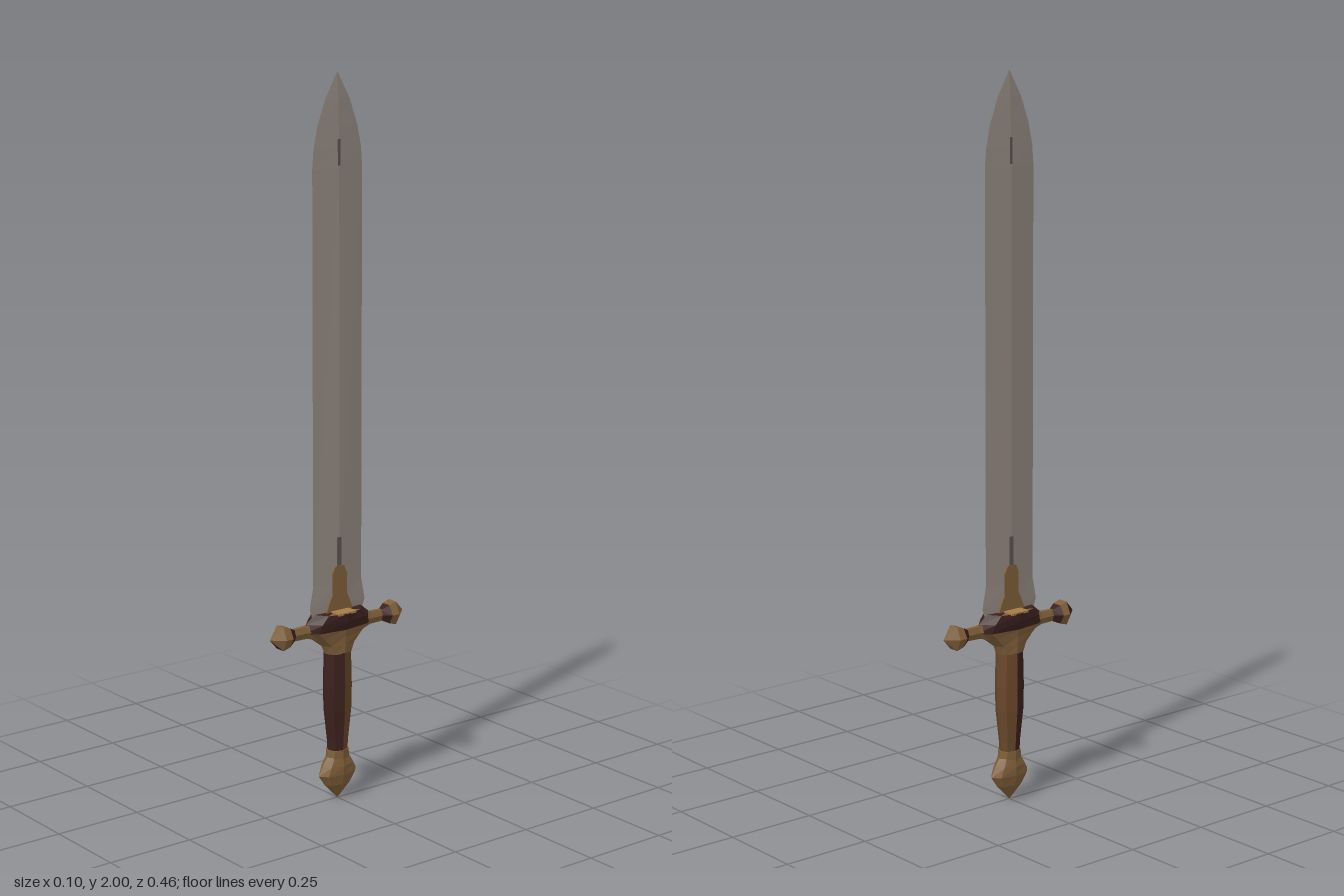
import * as THREE from 'three';

const mat = (name, color, side = THREE.FrontSide) => {
  const m = new THREE.MeshStandardMaterial({ color, flatShading: true, side });
  m.name = name;
  return m;
};

// Faceted loft along y; sections are [y, halfX, halfZ].
// pick(centre) returns a material index for each facet.
function loft(sections, sides, pick = () => 0, turn = 0) {
  const buckets = [];
  const point = ([y, rx, rz], k) => {
    const t = ((k + turn) / sides) * Math.PI * 2;
    return new THREE.Vector3(Math.cos(t) * rx, y, -Math.sin(t) * rz);
  };
  for (let i = 0; i < sections.length - 1; i++) {
    const lo = sections[i], hi = sections[i + 1];
    for (let k = 0; k < sides; k++) {
      const a = point(lo, k), b = point(lo, k + 1), c = point(hi, k + 1), d = point(hi, k);
      const centre = a.clone().add(b).add(c).add(d).multiplyScalar(0.25);
      const bucket = (buckets[pick(centre, i)] ??= []);
      if (lo[1] > 0) bucket.push(a, b, c);
      if (hi[1] > 0) bucket.push(a, c, d);
    }
  }
  const geo = new THREE.BufferGeometry().setFromPoints(buckets.flat().filter(Boolean));
  let start = 0;
  buckets.forEach((b, i) => {
    geo.addGroup(start, b.length, i);
    start += b.length;
  });
  geo.computeVertexNormals();
  return geo;
}

export function createModel() {
  const steel = mat('steel', 0x938880);
  const darkSteel = mat('dark steel', 0x5c5550);
  const bronze = mat('bronze', 0x80603a);
  const gold = mat('pale gold', 0xa67c48);
  const brown = mat('brown leather', 0x694729);
  const dark = mat('dark leather', 0x3b211e);

  const root = new THREE.Group();
  const add = (name, geo, material, parent = root) => {
    const mesh = new THREE.Mesh(geo, material);
    mesh.name = name;
    parent.add(mesh);
    return mesh;
  };

  // Blade: shallow diamond section with flared base and pointed tip
  add('blade', loft([
    [0.53, 0.008, 0.085], [0.56, 0.009, 0.095], [0.62, 0.009, 0.083], [1.75, 0.008, 0.083],
    [1.8, 0.007, 0.079], [1.86, 0.006, 0.066], [1.93, 0.004, 0.04], [2, 0, 0],
  ], 4), steel);

  // Bronze tongue lying on both blade faces
  const tongue = new THREE.Shape([
    [-0.05, 0.53], [0.05, 0.53], [0.032, 0.575], [0.024, 0.59], [0.024, 0.65],
    [0.014, 0.67], [-0.014, 0.67], [-0.024, 0.65], [-0.024, 0.59], [-0.032, 0.575],
  ].map(([x, y]) => new THREE.Vector2(x, y)));
  const tongueGeo = new THREE.ExtrudeGeometry(tongue, { depth: 0.022, bevelEnabled: false });
  tongueGeo.translate(0, 0, -0.011).rotateY(Math.PI / 2);
  add('bladeTongue', tongueGeo, bronze);

  // Narrow grooves near the guard and near the tip
  add('lowerGroove', new THREE.BoxGeometry(0.019, 0.09, 0.014).translate(0, 0.705, 0), darkSteel);
  add('tipGroove', new THREE.BoxGeometry(0.0165, 0.07, 0.008).translate(0, 1.79, 0), darkSteel);

  // Guard block: bronze with a dark crown at both ends and a gold middle band
  add('guardBlock', loft([
    [0.425, 0, 0], [0.425, 0.034, 0.042], [0.45, 0.035, 0.055], [0.475, 0.036, 0.088],
    [0.495, 0.039, 0.118], [0.52, 0.047, 0.108], [0.543, 0.049, 0.08], [0.543, 0, 0],
  ], 8, (c, i) => (i > 3 && Math.abs(c.z) > 0.022 ? 1 : 0), 0), [bronze, dark]);
  add('guardBand', new THREE.BoxGeometry(0.092, 0.006, 0.06).translate(0, 0.543, 0), gold);

  // Cross-guard arms with faceted finials
  for (const s of [1, -1]) {
    const arm = new THREE.Group();
    arm.name = s > 0 ? 'frontArm' : 'backArm';
    arm.position.y = 0.5;
    const lay = (geo) => geo.rotateX((s * Math.PI) / 2);
    add('armBar', lay(loft([
      [0.07, 0.022, 0.032], [0.11, 0.012, 0.02], [0.17, 0.012, 0.018],
    ], 6)), bronze, arm);
    add('armFinial', lay(loft([
      [0.146, 0, 0], [0.148, 0.01, 0.016], [0.172, 0.03, 0.03], [0.195, 0.03, 0.038], [0.23, 0, 0],
    ], 6, (c, i) => (i === 1 || (i === 3 && s > 0 && c.x < 0) ? 1 : 0))), [bronze, dark], arm);
    root.add(arm);
  }

  // Grip: dark leather in front, brown behind
  const gripSections = [
    [0.125, 0.025, 0.03], [0.17, 0.027, 0.031], [0.26, 0.034, 0.042],
    [0.33, 0.035, 0.044], [0.44, 0.034, 0.04],
  ];
  add('grip', loft(gripSections, 8, (c) => (c.z > 0.001 ? 0 : 1)), [dark, brown]);
  add('gripCollar', loft([
    [0.12, 0, 0], [0.12, 0.028, 0.036], [0.145, 0.028, 0.034], [0.145, 0, 0],
  ], 8), bronze);

  // Pommel: pointed and faceted
  add('pommel', loft([
    [0, 0, 0], [0.045, 0.023, 0.044], [0.075, 0.03, 0.065],
    [0.1, 0.031, 0.052], [0.13, 0.026, 0.032], [0.13, 0, 0],
  ], 8), bronze);

  return root;
}
